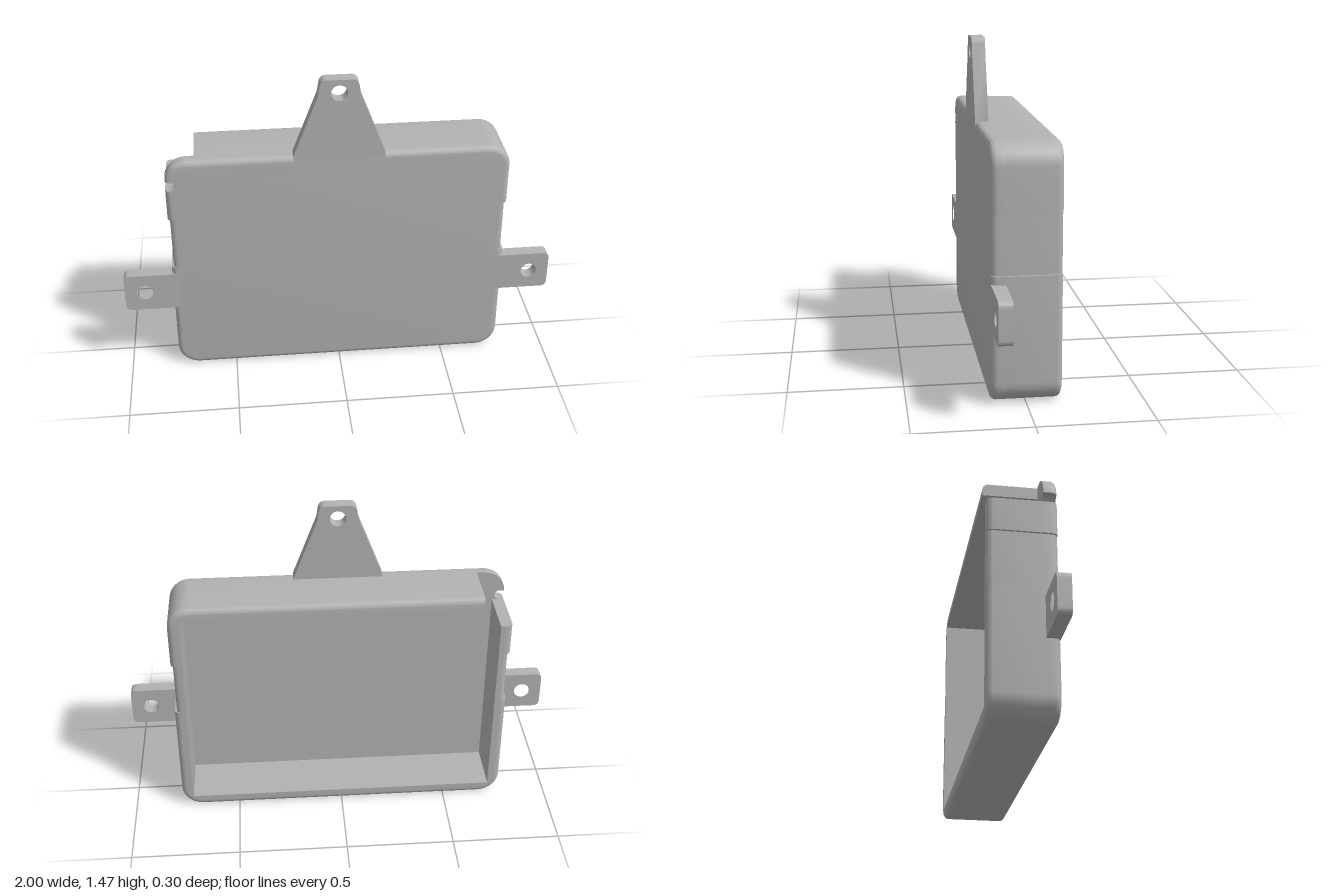
import * as THREE from 'three';
import { toCreasedNormals } from 'three/addons/utils/BufferGeometryUtils.js';

const W = 0.775, H = 1.11, R = 0.1, WALL = 0.055;
const BACK = -0.15, FLOOR = 0.09, FRONT = 0.15, FILLET = 0.025;

// Quarter-round corner points of the case, pulled in by d
function corner(cx, cy, start, d) {
  const pts = [];
  for (let i = 0; i <= 10; i++) {
    const a = start + (i / 10) * Math.PI / 2;
    pts.push([cx + (R - d) * Math.cos(a), cy + (R - d) * Math.sin(a)]);
  }
  return pts;
}

// Outer edge from the cable notch, counter-clockwise to the top edge, with side grip recesses
function outerEdge(d) {
  const w = W - d, g = w - 0.01;
  return [
    [-w, 0.965], [-w, 0.815], [-g, 0.815], [-g, 0.56], [-w, 0.56],
    ...corner(-W + R, R, Math.PI, d),
    ...corner(W - R, R, -Math.PI / 2, d),
    [w, 0.56], [g, 0.56], [g, 0.815], [w, 0.815],
    ...corner(W - R, H - R, 0, d),
  ];
}

// Wall section: outer edge returned along the inside, open at the notch
const wallOutline = d => [
  ...outerEdge(d), [-0.64, H - d], [-0.64, H - WALL],
  [W - WALL, H - WALL], [W - WALL, WALL], [-W + WALL, WALL], [-W + WALL, 0.965],
];

// Front plate section, with a small round bite for the cable
const plateOutline = d => [
  ...outerEdge(d), ...corner(-W + R, H - R, Math.PI / 2, d),
  [-0.75, 1.012], [-0.737, 1.005], [-0.73, 0.992], [-0.735, 0.975], [-0.752, 0.965],
];

// Joins outlines at several [inset, z] levels and caps both ends
function loft(outline, levels) {
  const rings = levels.map(([d, z]) => outline(d).map(([x, y]) => new THREE.Vector3(x, y, z)));
  const n = rings[0].length, pos = [];
  const tri = (...v) => v.forEach(p => pos.push(p.x, p.y, p.z));
  for (let k = 0; k < rings.length - 1; k++) {
    const a = rings[k], b = rings[k + 1];
    for (let i = 0; i < n; i++) {
      const j = (i + 1) % n;
      tri(a[i], a[j], b[j]);
      tri(a[i], b[j], b[i]);
    }
  }
  const cap = (ring, flip) => {
    const flat = ring.map(p => new THREE.Vector2(p.x, p.y));
    for (const [a, b, c] of THREE.ShapeUtils.triangulateShape(flat, [])) {
      const up = (flat[b].x - flat[a].x) * (flat[c].y - flat[a].y)
        - (flat[b].y - flat[a].y) * (flat[c].x - flat[a].x) > 0;
      if (up !== flip) tri(ring[a], ring[b], ring[c]);
      else tri(ring[a], ring[c], ring[b]);
    }
  };
  cap(rings[0], true);
  cap(rings[rings.length - 1], false);
  const geo = new THREE.BufferGeometry();
  geo.setAttribute('position', new THREE.Float32BufferAttribute(pos, 3));
  return toCreasedNormals(geo, 0.6);
}

// Levels of a rounded edge ending at z, dir +1 toward the front, -1 toward the back
function roundEdge(z, dir) {
  const out = [];
  for (let i = 0; i <= 5; i++) {
    const a = (i / 5) * Math.PI / 2;
    out.push([FILLET * (1 - Math.cos(a)), z - dir * FILLET * (1 - Math.sin(a))]);
  }
  return out;
}

// Flat mounting tab with a screw hole
function tabGeometry(shape, hx, hy) {
  const hole = new THREE.Path();
  hole.absarc(hx, hy, 0.037, 0, Math.PI * 2, true);
  shape.holes.push(hole);
  const geo = new THREE.ExtrudeGeometry(shape, {
    depth: FRONT - FLOOR, bevelEnabled: false, curveSegments: 16,
  });
  geo.translate(0, 0, FLOOR);
  return toCreasedNormals(geo, 0.6);
}

export function createModel() {
  const group = new THREE.Group();
  group.name = 'wallMountCase';
  const grey = new THREE.MeshStandardMaterial({ color: 0xb2b2b2 });
  grey.name = 'grey plastic';
  const add = (name, geo) => {
    const mesh = new THREE.Mesh(geo, grey);
    mesh.name = name;
    group.add(mesh);
  };

  // Case
  add('frontPlate', loft(plateOutline, [[0, FLOOR], ...roundEdge(FRONT, 1)]));
  add('sideWalls', loft(wallOutline, [...roundEdge(BACK, -1).reverse(), [0, FLOOR]]));

  // Side tabs
  for (const s of [1, -1]) {
    const tab = new THREE.Shape();
    const r = 0.03, lo = 0.338, hi = 0.525;
    tab.moveTo(s * 0.74, lo);
    tab.lineTo(s * (1 - r), lo);
    tab.quadraticCurveTo(s, lo, s, lo + r);
    tab.lineTo(s, hi - r);
    tab.quadraticCurveTo(s, hi, s * (1 - r), hi);
    tab.lineTo(s * 0.74, hi);
    add(s > 0 ? 'leftTab' : 'rightTab', tabGeometry(tab, s * 0.907, 0.432));
  }

  // Tapered hanging tab
  const hanger = new THREE.Shape();
  hanger.moveTo(-0.2, 1.08);
  hanger.lineTo(0.2, 1.08);
  hanger.lineTo(0.205, 1.11);
  hanger.lineTo(0.093, 1.4);
  hanger.lineTo(0.086, 1.445);
  hanger.quadraticCurveTo(0.08, 1.472, 0.055, 1.472);
  hanger.lineTo(-0.055, 1.472);
  hanger.quadraticCurveTo(-0.08, 1.472, -0.086, 1.445);
  hanger.lineTo(-0.093, 1.4);
  hanger.lineTo(-0.205, 1.11);
  add('hangingTab', tabGeometry(hanger, 0, 1.41));

  return group;
}
